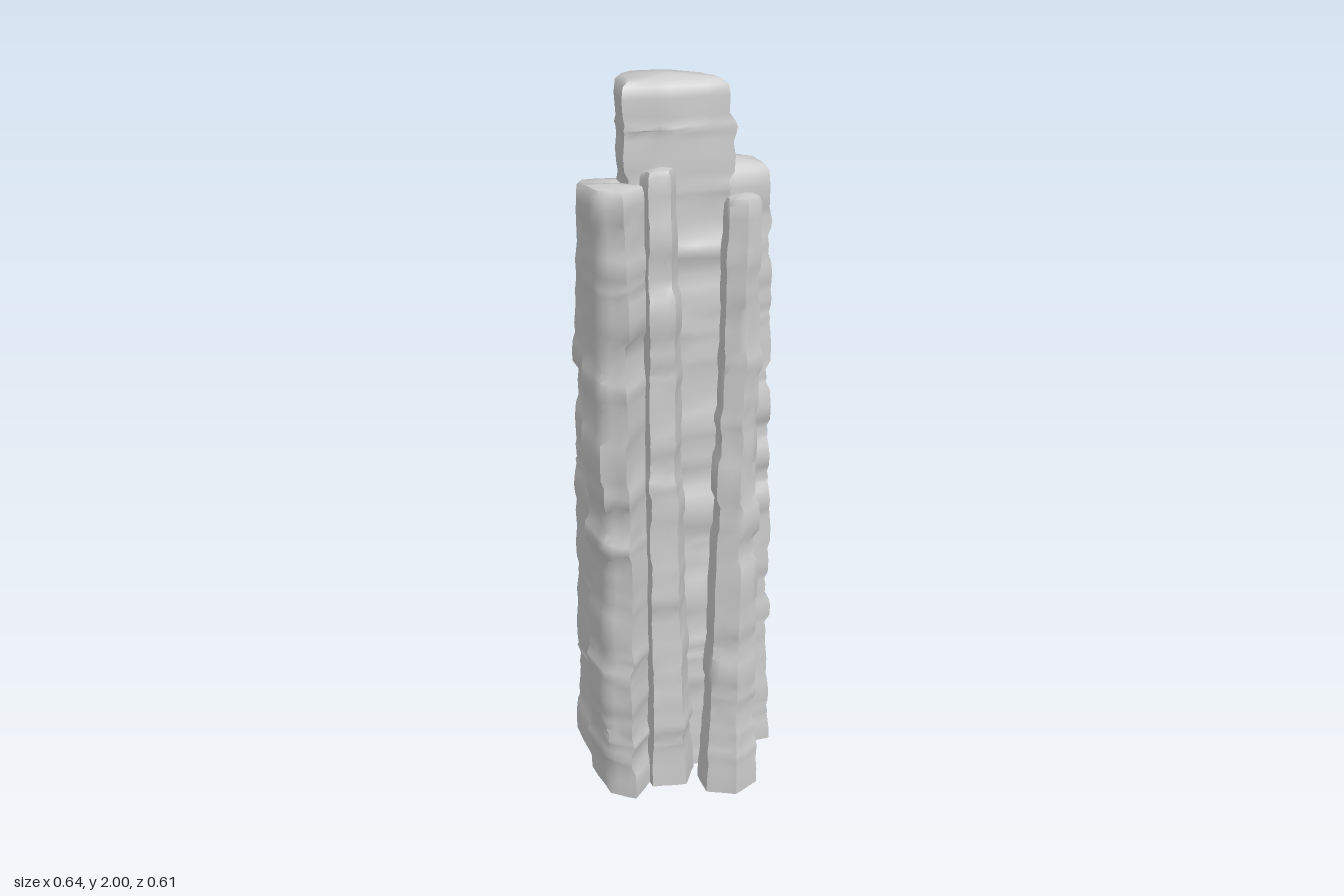
import * as THREE from 'three';
import { toCreasedNormals } from 'three/addons/utils/BufferGeometryUtils.js';

// small seeded random generator, returns values in -1..1
function seeded(seed) {
  let s = seed * 7919 + 17;
  return () => {
    s = (s * 16807) % 2147483647;
    return (s / 2147483647) * 2 - 1;
  };
}

// Even-sided outline for the slimmer columns
function ring(x, z, radius, sides, phase) {
  return Array.from({ length: sides }, (_, i) => {
    const angle = phase + i / sides * Math.PI * 2;
    return [x + radius * Math.cos(angle), z + radius * Math.sin(angle)];
  });
}

// Split each outline edge so the sides can be weathered between corners
function subdivide(outline, parts) {
  return outline.flatMap(([x, z], i) => {
    const [x2, z2] = outline[(i + 1) % outline.length];
    return Array.from({ length: parts }, (_, k) => [x + (x2 - x) * k / parts, z + (z2 - z) * k / parts]);
  });
}

// Loft a column from stacked, eroded slabs; it narrows from its foot outline to the top centre and scale
function columnGeometry(foot, height, topX, topZ, topScale, seed) {
  const rand = seeded(seed);
  const outline = subdivide(foot, 3), n = outline.length;
  const footX = outline.reduce((sum, p) => sum + p[0], 0) / n;
  const footZ = outline.reduce((sum, p) => sum + p[1], 0) / n;
  const positions = [], index = [];
  let rings = 0;

  const addRing = (y, slab, inset, tilt) => {
    const t = Math.pow(y / height, 0.7);
    const cx = THREE.MathUtils.lerp(footX, topX, t) + slab.dx;
    const cz = THREE.MathUtils.lerp(footZ, topZ, t) + slab.dz;
    const scale = THREE.MathUtils.lerp(1, topScale, t) * slab.scale * inset;
    outline.forEach(([x, z], i) => {
      const s = scale * (1 + slab.wear[i]);
      positions.push(cx + (x - footX) * s, y + tilt[i], cz + (z - footZ) * s);
    });
    rings++;
  };
  const newSlab = () => ({
    scale: 1 + rand() * 0.06, dx: rand() * 0.006, dz: rand() * 0.006,
    wear: outline.map(() => rand() * 0.03),
  });
  // gently sloping bedding plane
  const newTilt = (amount) => {
    const phase = rand() * Math.PI;
    return outline.map((_, i) => amount * (Math.sin(i / n * Math.PI * 2 + phase) + rand() * 0.4));
  };

  let y = 0.008, tilt = newTilt(0.005);
  while (y < height - 0.03) {
    let thick = 0.085 + rand() * 0.04;
    if (height - y - thick < 0.07) thick = height - y;
    const slab = newSlab(), last = y + thick >= height - 0.001;
    addRing(rings ? y + 0.012 : y, slab, 1, tilt);
    addRing(y + thick * 0.5, slab, 1.02, newTilt(0.003));
    tilt = newTilt(last ? 0.004 : 0.007);
    addRing(y + thick - (last ? 0.022 : 0.01), slab, 0.99, tilt);
    if (last) addRing(height - 0.008, slab, 0.86, tilt);
    y += thick;
  }

  // side walls
  for (let r = 0; r < rings - 1; r++) {
    for (let i = 0; i < n; i++) {
      const p = r * n + i, q = r * n + (i + 1) % n;
      index.push(p, p + n, q, q, p + n, q + n);
    }
  }
  // underside and crown
  const low = rings * n, high = low + 1, lastRing = low - n;
  positions.push(footX, 0.005, footZ, topX, height, topZ);
  for (let i = 0; i < n; i++) {
    const j = (i + 1) % n;
    index.push(low, i, j, high, lastRing + j, lastRing + i);
  }

  const geometry = new THREE.BufferGeometry();
  geometry.setAttribute('position', new THREE.Float32BufferAttribute(positions, 3));
  geometry.setIndex(index);
  return toCreasedNormals(geometry, 0.9);
}

export function createModel() {
  const group = new THREE.Group();
  group.name = 'rockColumns';
  const stone = new THREE.MeshStandardMaterial({ color: 0xcccccc });
  const addColumn = (name, foot, height, topX, topZ, topScale) => {
    const seed = group.children.length + 3;
    const mesh = new THREE.Mesh(columnGeometry(foot, height, topX, topZ, topScale, seed), stone);
    mesh.name = name;
    group.add(mesh);
  };

  // broad columns with irregular outlines
  addColumn('centralColumn',
    [[-0.06, -0.15], [0.06, -0.1], [0.12, 0.08], [0.07, 0.2], [-0.08, 0.1], [-0.18, -0.01]],
    2, -0.03, -0.01, 0.82);
  addColumn('backColumn',
    [[-0.12, -0.295], [0.03, -0.19], [0, -0.08], [-0.12, -0.06], [-0.23, -0.12]],
    1.72, -0.085, -0.146, 0.82);
  addColumn('rightColumn',
    [[-0.25, -0.125], [-0.16, -0.08], [-0.14, 0.04], [-0.295, 0.075], [-0.315, 0]],
    1.75, -0.236, -0.017, 0.93);
  addColumn('backLeftColumn',
    [[0.185, -0.255], [0.305, -0.15], [0.26, -0.045], [0.13, -0.05], [0.085, -0.19]],
    1.82, 0.193, -0.13, 0.7);
  addColumn('leftColumn',
    [[0.12, -0.03], [0.25, -0.03], [0.31, 0.06], [0.2, 0.195], [0.06, 0.1]],
    1.77, 0.17, 0.06, 0.76);

  // slim columns
  addColumn('frontColumn', ring(-0.05, 0.22, 0.085, 6, 0.1), 1.73, -0.045, 0.242, 0.57);
  addColumn('frontRightSpire', ring(-0.145, 0.08, 0.078, 5, 0.5), 1.79, -0.157, 0.068, 0.62);
  addColumn('backSpire', ring(0.052, -0.13, 0.072, 5, 0.3), 1.79, 0.046, -0.128, 0.65);
  return group;
}
